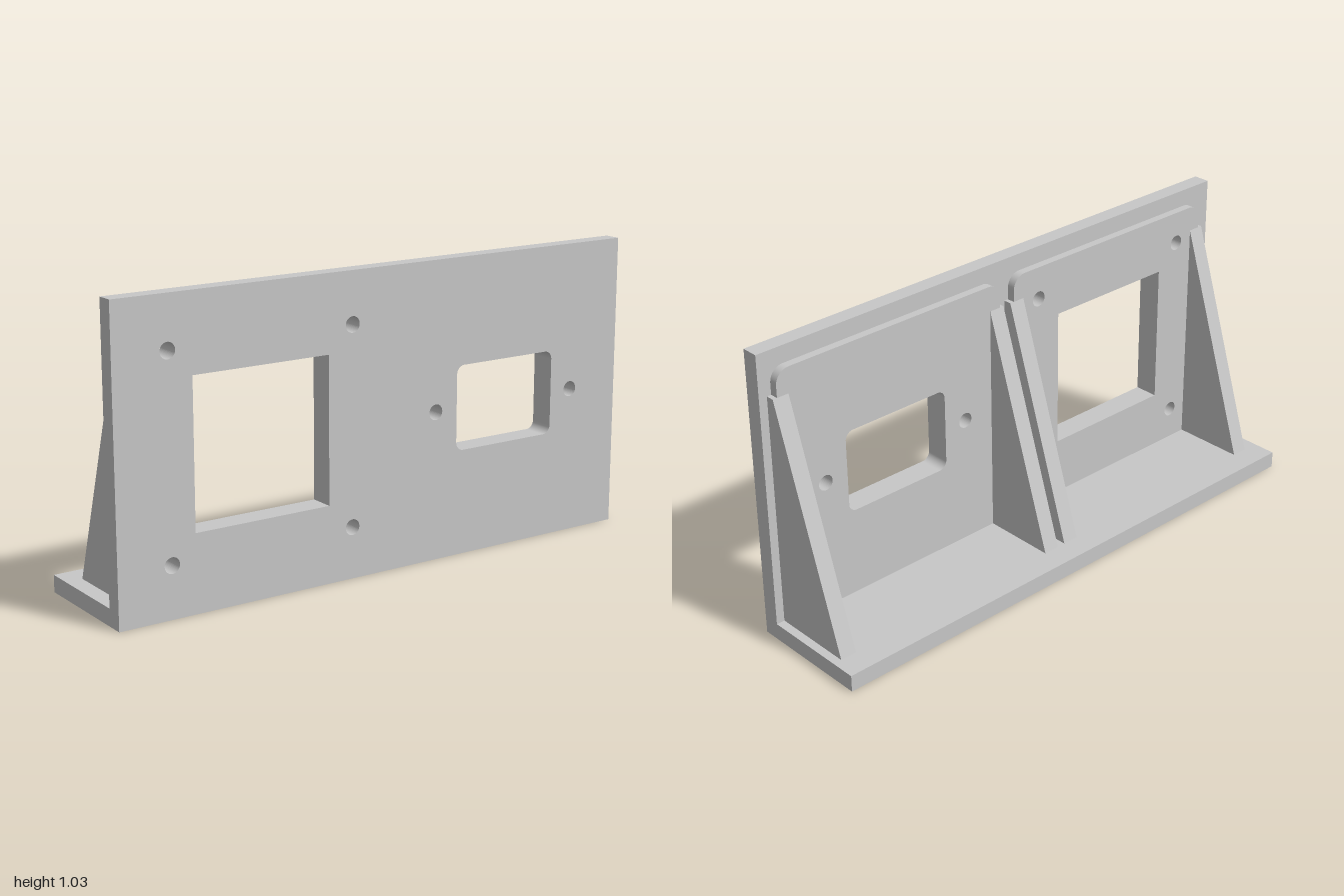
import * as THREE from 'three';

const WIDTH = 2, HEIGHT = 1.03, FRONT = 0.22, PLATE_BACK = 0.161, PAD_BACK = 0.132;
const FLOOR = 0.059, GUSSET_W = 0.059, GUSSET_TOP = 0.88, PAD_INSET = 0.016;

// Rectangle with separate radii for the bottom and top corners
function rect(path, x0, y0, x1, y1, bottom = 0, top = bottom) {
  path.moveTo(x0 + bottom, y0);
  path.lineTo(x1 - bottom, y0);
  if (bottom) path.absarc(x1 - bottom, y0 + bottom, bottom, -Math.PI / 2, 0);
  path.lineTo(x1, y1 - top);
  if (top) path.absarc(x1 - top, y1 - top, top, 0, Math.PI / 2);
  path.lineTo(x0 + top, y1);
  if (top) path.absarc(x0 + top, y1 - top, top, Math.PI / 2, Math.PI);
  path.lineTo(x0, y0 + bottom);
  if (bottom) path.absarc(x0 + bottom, y0 + bottom, bottom, Math.PI, Math.PI * 1.5);
  return path;
}

function roundHole(x, y) {
  return new THREE.Path().absarc(x, y, 0.027, 0, Math.PI * 2);
}

// Cutouts and screw holes of each half
const squareSide = () => [
  rect(new THREE.Path(), -0.725, 0.266, -0.225, 0.767),
  ...[-0.81, -0.133].flatMap((x) => [0.177, 0.854].map((y) => roundHole(x, y))),
];
const socketSide = () => [
  rect(new THREE.Path(), 0.293, 0.368, 0.706, 0.663, 0.03),
  roundHole(0.205, 0.516),
  roundHole(0.793, 0.516),
];

export function createModel() {
  const group = new THREE.Group();
  group.name = 'panelBracket';
  const grey = new THREE.MeshStandardMaterial({ color: 0xc7c7c7 });
  grey.name = 'lightGrey';

  const add = (name, geometry) => {
    const mesh = new THREE.Mesh(geometry, grey);
    mesh.name = name;
    group.add(mesh);
  };
  const slab = (shape, holes, z0, z1) => {
    shape.holes = holes;
    return new THREE.ExtrudeGeometry(shape, { depth: z1 - z0, bevelEnabled: false, curveSegments: 24 })
      .translate(0, 0, z0);
  };

  // Upright panel with all the openings
  add('frontPanel', slab(rect(new THREE.Shape(), -WIDTH / 2, 0, WIDTH / 2, HEIGHT),
    [...squareSide(), ...socketSide()], PLATE_BACK, FRONT));

  // Foot
  const footDepth = PLATE_BACK + FRONT;
  add('foot', new THREE.BoxGeometry(WIDTH, FLOOR, footDepth)
    .translate(0, FLOOR / 2, PLATE_BACK - footDepth / 2));

  // Gusset profile with a short flat top, drawn as (z, y)
  const profile = new THREE.Shape([
    new THREE.Vector2(PLATE_BACK, FLOOR),
    new THREE.Vector2(PLATE_BACK, GUSSET_TOP),
    new THREE.Vector2(PAD_BACK, GUSSET_TOP),
    new THREE.Vector2(-0.133, FLOOR),
  ]);

  // Each half: a raised backing pad, slightly inset, with a gusset at either edge
  const halves = [
    { side: 'right', x0: -0.942, x1: -0.003, holes: squareSide() },
    { side: 'left', x0: 0.028, x1: 0.97, holes: socketSide() },
  ];
  for (const { side, x0, x1, holes } of halves) {
    add(`${side}BackingPad`, slab(
      rect(new THREE.Shape(), x0 + PAD_INSET, FLOOR, x1 - PAD_INSET, 0.97, 0, 0.05),
      holes, PAD_BACK, PLATE_BACK));
    [x0 + GUSSET_W, x1].forEach((x, i) => {
      add(`${side}Gusset${i + 1}`,
        new THREE.ExtrudeGeometry(profile, { depth: GUSSET_W, bevelEnabled: false })
          .rotateY(-Math.PI / 2).translate(x, 0, 0));
    });
  }
  return group;
}
